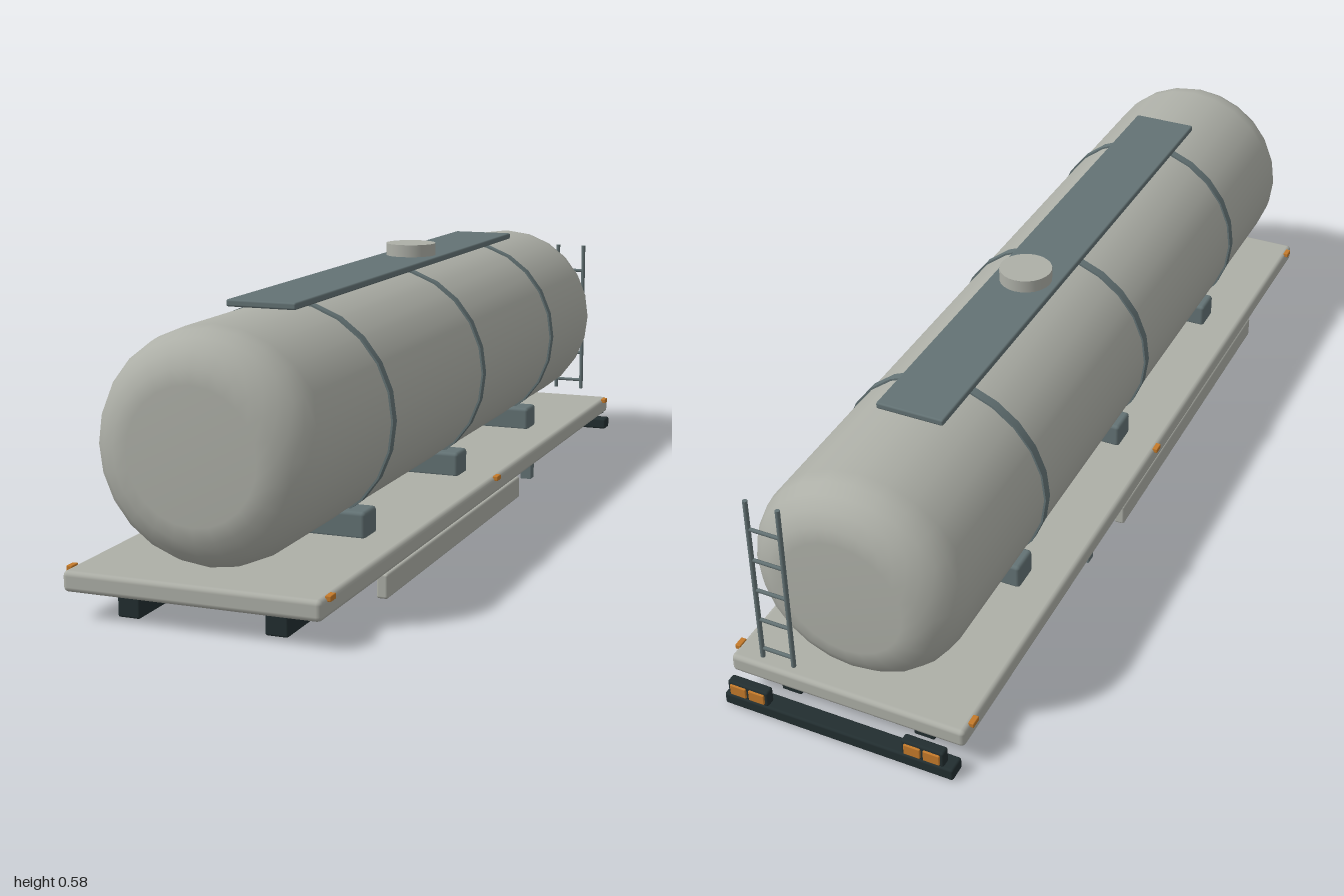
import * as THREE from 'three';
import { RoundedBoxGeometry } from 'three/addons/geometries/RoundedBoxGeometry.js';

const paint = (name, color) => {
  const m = new THREE.MeshStandardMaterial({ color });
  m.name = name;
  return m;
};

export function createModel() {
  const model = new THREE.Group();
  model.name = 'tankTrailerBody';
  const shell = paint('pale grey', 0xadafa7);
  const steel = paint('slate grey', 0x637274);
  const dark = paint('dark chassis', 0x222e30);
  const amber = paint('amber', 0xc47a2a);

  const add = (name, geometry, material, x, y, z) => {
    const mesh = new THREE.Mesh(geometry, material);
    mesh.name = name;
    mesh.position.set(x, y, z);
    model.add(mesh);
    return mesh;
  };
  // Box given by its limits, with an optional rounded edge
  const box = (name, mat, [x0, x1], [y0, y1], [z0, z1], r = 0) => {
    const s = [x1 - x0, y1 - y0, z1 - z0];
    const g = r ? new RoundedBoxGeometry(...s, 2, r) : new THREE.BoxGeometry(...s);
    return add(name, g, mat, (x0 + x1) / 2, (y0 + y1) / 2, (z0 + z1) / 2);
  };
  // The same box on both sides
  const pair = (name, mat, [x0, x1], y, z, r) => {
    box(name + 'Left', mat, [x0, x1], y, z, r);
    box(name + 'Right', mat, [-x1, -x0], y, z, r);
  };

  // Tank with rounded ends, lying along z
  const tankY = 0.322, front = 0.98, back = -0.935;
  const end = [[0, 0], [0.128, 0], [0.158, 0.006], [0.185, 0.021], [0.206, 0.043], [0.218, 0.069], [0.222, 0.1]];
  const profile = [
    ...end.map(([r, d]) => new THREE.Vector2(r, back + d)),
    ...end.slice().reverse().map(([r, d]) => new THREE.Vector2(r, front - d)),
  ];
  add('tank', new THREE.LatheGeometry(profile, 24).rotateX(Math.PI / 2), shell, 0, tankY, 0);

  // Straps and saddles
  for (const z of [0.57, 0.023, -0.505]) {
    add('strap', new THREE.CylinderGeometry(0.226, 0.226, 0.02, 24).rotateX(Math.PI / 2), steel, 0, tankY, z);
    box('saddle', steel, [-0.176, 0.176], [0.09, 0.146], [z - 0.033, z + 0.033], 0.008);
  }

  // Walkway and hatch
  box('walkway', steel, [-0.072, 0.072], [0.544, 0.558], [-0.645, 0.685], 0.004);
  add('hatch', new THREE.CylinderGeometry(0.056, 0.056, 0.03, 24), shell, 0, 0.57, -0.12);

  // Deck, rails, side guards and legs
  box('deck', shell, [-0.255, 0.255], [0.055, 0.095], [-0.95, 1], 0.01);
  pair('chassisRail', dark, [0.125, 0.17], [0.003, 0.058], [-0.91, 0.95], 0.004);
  pair('sideGuard', shell, [0.23, 0.253], [0.004, 0.053], [-0.16, 0.68], 0.005);
  pair('guardBracket', steel, [0.21, 0.24], [0.045, 0.06], [0.46, 0.55]);
  pair('supportLeg', steel, [0.213, 0.238], [0.014, 0.06], [-0.322, -0.296]);

  // Side markers
  for (const z of [0.96, 0.023, -0.91]) {
    pair('sideMarker', amber, [0.25, 0.262], [0.086, 0.097], [z - 0.012, z + 0.012], 0.002);
  }

  // Rear bumper and lamps
  box('rearBumper', dark, [-0.25, 0.25], [0.005, 0.032], [-0.99, -0.95], 0.005);
  pair('lampHousing', dark, [0.145, 0.235], [0.04, 0.076], [-0.996, -0.974], 0.005);
  for (const x of [0.152, 0.193]) {
    pair('rearLamp', amber, [x, x + 0.035], [0.046, 0.07], [-1, -0.993], 0.002);
  }

  // Ladder
  for (const x of [0.114, 0.183]) {
    add('ladderRail', new THREE.CylinderGeometry(0.005, 0.005, 0.385, 8), steel, x, 0.307, -0.942);
  }
  for (let i = 0; i < 5; i++) {
    add('ladderRung', new THREE.CylinderGeometry(0.004, 0.004, 0.069, 8).rotateZ(Math.PI / 2),
      steel, 0.1485, 0.137 + i * 0.074, -0.942);
  }

  return model;
}
